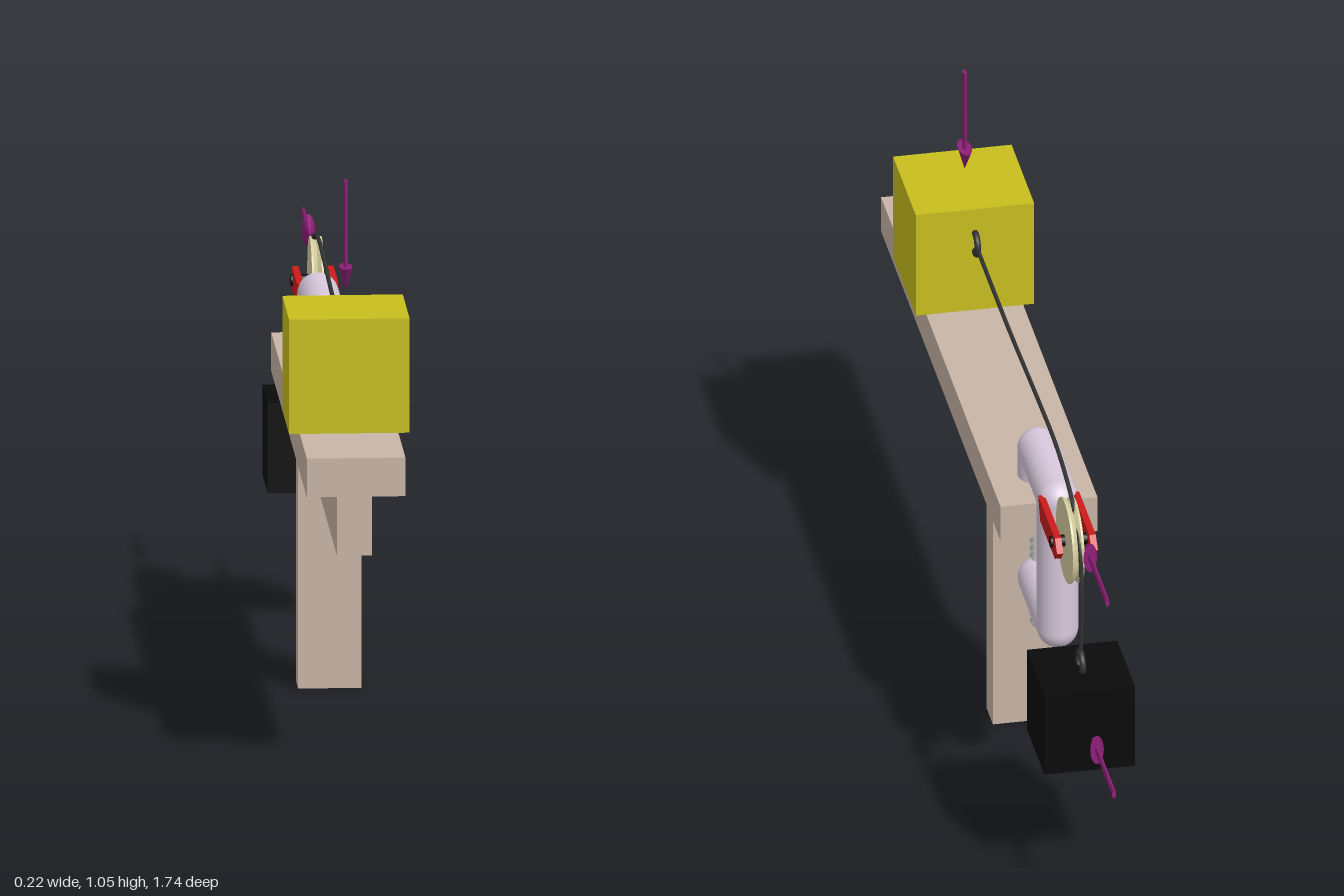
import * as THREE from 'three';

const mat = (color) => new THREE.MeshStandardMaterial({ color });
const wood = mat(0xc8b5a6), yellow = mat(0xc8be1e), black = mat(0x0a0a0a), lilac = mat(0xd8c8dc);
const red = mat(0xcc1a1a), cream = mat(0xd6cea0), purple = mat(0x8f1f78), cord = mat(0x333333), grey = mat(0xcccccc);
const UP = new THREE.Vector3(0, 1, 0);

export function createModel() {
  const model = new THREE.Group();

  function add(parent, name, geometry, material, x = 0, y = 0, z = 0) {
    const mesh = new THREE.Mesh(geometry, material);
    mesh.name = name;
    mesh.position.set(x, y, z);
    parent.add(mesh);
    return mesh;
  }
  function group(name) {
    const g = new THREE.Group();
    g.name = name;
    model.add(g);
    return g;
  }
  // Box given by half width and its y and z ranges
  const box = (parent, name, material, hx, y0, y1, z0, z1) =>
    add(parent, name, new THREE.BoxGeometry(hx * 2, y1 - y0, z1 - z0), material, 0, (y0 + y1) / 2, (z0 + z1) / 2);
  const at = (y, z) => new THREE.Vector3(0, y, z);

  // Table
  const table = group('table');
  box(table, 'tableTop', wood, 0.09, 0.53, 0.602, -0.125, 1);
  box(table, 'tableBeam', wood, 0.032, 0.41, 0.53, 0.17, 0.95);
  box(table, 'tableLeg', wood, 0.058, 0, 0.53, 0.11, 0.17);

  // Sliding block and hanging weight
  box(model, 'block', yellow, 0.11, 0.603, 0.816, 0.572, 0.785);
  box(model, 'weight', black, 0.084, 0.257, 0.425, -0.508, -0.342);

  // Hooks
  const ring = new THREE.TorusGeometry(0.02, 0.006, 10, 28).rotateY(Math.PI / 2);
  add(model, 'blockHook', ring, cord, 0, 0.747, 0.566);
  add(model, 'weightHook', ring, cord, 0, 0.437, -0.423);

  // Rope from block, over the pulley, down to the weight
  const ropePath = new THREE.CatmullRomCurve3([
    [0.745, 0.545], [0.748, 0.245], [0.759, -0.02], [0.762, -0.18], [0.749, -0.285],
    [0.728, -0.353], [0.69, -0.41], [0.62, -0.43], [0.54, -0.433], [0.455, -0.423],
  ].map(([y, z]) => at(y, z)));
  add(model, 'rope', new THREE.TubeGeometry(ropePath, 90, 0.004, 8), cord);

  // C clamp: round bars joined by ball elbows
  const clamp = group('clamp');
  const R = 0.038;
  const joints = [at(0.6, -0.022), at(0.657, -0.022), at(0.657, -0.205), at(0.385, -0.205), at(0.385, -0.026)];
  joints.forEach((p, i) => {
    if (i > 0) {
      add(clamp, 'clampElbow', new THREE.SphereGeometry(R, 24, 16), lilac, p.x, p.y, p.z);
      const d = p.clone().sub(joints[i - 1]);
      const mid = p.clone().add(joints[i - 1]).multiplyScalar(0.5);
      const bar = add(clamp, 'clampBar', new THREE.CylinderGeometry(R, R, d.length(), 24), lilac, mid.x, mid.y, mid.z);
      bar.quaternion.setFromUnitVectors(UP, d.normalize());
    }
  });

  // Threaded screw with its pressure pad
  const thread = [new THREE.Vector2(0, 0.283)];
  for (let i = 0; i <= 30; i++) thread.push(new THREE.Vector2(i % 2 ? 0.016 : 0.011, 0.283 + i * 0.0077));
  add(clamp, 'clampScrew', new THREE.LatheGeometry(thread, 20), grey, 0, 0, -0.022);
  add(clamp, 'screwPad', new THREE.CylinderGeometry(0.028, 0.018, 0.022, 20), grey, 0, 0.519, -0.022);

  // Grooved pulley wheel on its axle
  const pulley = group('pulley');
  const rim = [[0, -0.011], [0.08, -0.011], [0.08, -0.007], [0.073, 0], [0.08, 0.007], [0.08, 0.011], [0, 0.011]]
    .map(([r, h]) => new THREE.Vector2(r, h));
  const wheelGeometry = new THREE.LatheGeometry(rim, 40).toNonIndexed().rotateZ(Math.PI / 2);
  wheelGeometry.computeVertexNormals();
  add(pulley, 'pulleyWheel', wheelGeometry, cream, 0.004, 0.652, -0.347);
  add(pulley, 'pulleyAxle', new THREE.CylinderGeometry(0.011, 0.011, 0.084, 16).rotateZ(Math.PI / 2), black, 0, 0.652, -0.347);

  // Pair of pointed arms holding the wheel
  const armShape = new THREE.Shape([[0.215, 0.673], [0.372, 0.673], [0.393, 0.652], [0.372, 0.63], [0.235, 0.63]]
    .map(([u, v]) => new THREE.Vector2(u, v)));
  const armGeometry = new THREE.ExtrudeGeometry(armShape, { depth: 0.012, bevelEnabled: false })
    .translate(0, 0, -0.006).rotateY(Math.PI / 2);
  for (const side of [-1, 1]) add(pulley, side > 0 ? 'leftArm' : 'rightArm', armGeometry, red, side * 0.032);

  // Flattened pointer arrows: tip position and turn about x
  function arrow(name, y, z, length, turn) {
    const g = group(name);
    const head = 0.045;
    add(g, 'arrowHead', new THREE.ConeGeometry(0.03, head, 20), purple, 0, -head / 2, 0);
    add(g, 'arrowShaft', new THREE.CylinderGeometry(0.009, 0.009, length - head, 14), purple, 0, -(length + head) / 2, 0);
    g.scale.x = 0.42;
    g.position.set(0, y, z);
    g.rotation.x = turn;
  }
  arrow('blockArrow', 0.845, 0.67, 0.205, Math.PI);
  arrow('pulleyArrow', 0.71, -0.468, 0.208, Math.PI / 2);
  arrow('weightArrow', 0.34, -0.532, 0.206, Math.PI / 2);

  return model;
}
